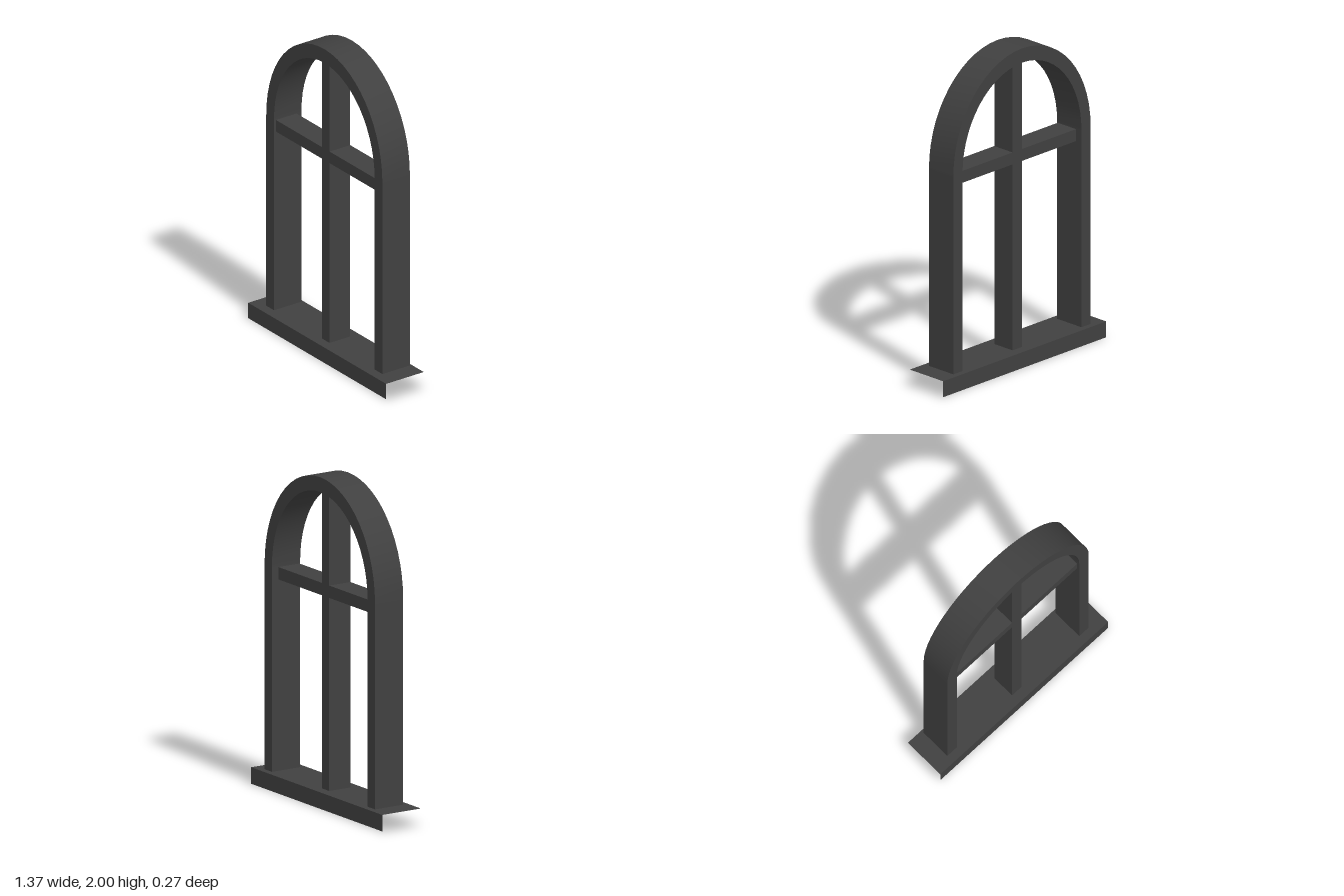
import * as THREE from 'three';
import { toCreasedNormals } from 'three/addons/utils/BufferGeometryUtils.js';

const material = new THREE.MeshStandardMaterial({ color: 0x404040 });

function add(group, name, geometry) {
  const mesh = new THREE.Mesh(geometry, material);
  mesh.name = name;
  group.add(mesh);
  return mesh;
}

// Box given by its lower and upper limits on each axis
function bar(group, name, [x0, x1], [y0, y1], [z0, z1]) {
  const mesh = add(group, name, new THREE.BoxGeometry(x1 - x0, y1 - y0, z1 - z0));
  mesh.position.set((x0 + x1) / 2, (y0 + y1) / 2, (z0 + z1) / 2);
  return mesh;
}

export function createModel() {
  const group = new THREE.Group();
  group.name = 'archedWindow';
  const frameZ = [-0.115, 0.085];
  const barZ = [-0.075, 0.075];
  const springY = 1.35;

  // Sill: a sleeve without its two end faces
  const sill = bar(group, 'sill', [-0.685, 0.685], [0, 0.1], [-0.137, 0.137]);
  sill.geometry.setIndex(Array.from(sill.geometry.index.array).slice(12));
  sill.geometry.clearGroups();

  // Upright posts of the frame
  bar(group, 'leftPost', [0.5, 0.577], [0.108, springY], frameZ);
  bar(group, 'rightPost', [-0.577, -0.5], [0.108, springY], frameZ);

  // Half-elliptical arch on top of the posts
  const shape = new THREE.Shape();
  shape.moveTo(0.577, 0);
  shape.absellipse(0, 0, 0.577, 0.65, 0, Math.PI, false, 0);
  shape.lineTo(-0.5, 0);
  shape.absellipse(0, 0, 0.5, 0.56, Math.PI, 0, true, 0);
  const arch = new THREE.ExtrudeGeometry(shape, {
    depth: frameZ[1] - frameZ[0], bevelEnabled: false, curveSegments: 14,
  });
  arch.translate(0, springY, frameZ[0]);
  add(group, 'arch', toCreasedNormals(arch, 0.6));

  // Glazing bars: one upright and two crosspieces
  bar(group, 'mullion', [-0.039, 0.038], [0.097, 1.912], barZ);
  bar(group, 'leftCrossbar', [0.038, 0.492], [1.27, 1.345], barZ);
  bar(group, 'rightCrossbar', [-0.495, -0.039], [1.27, 1.345], barZ);

  return group;
}
